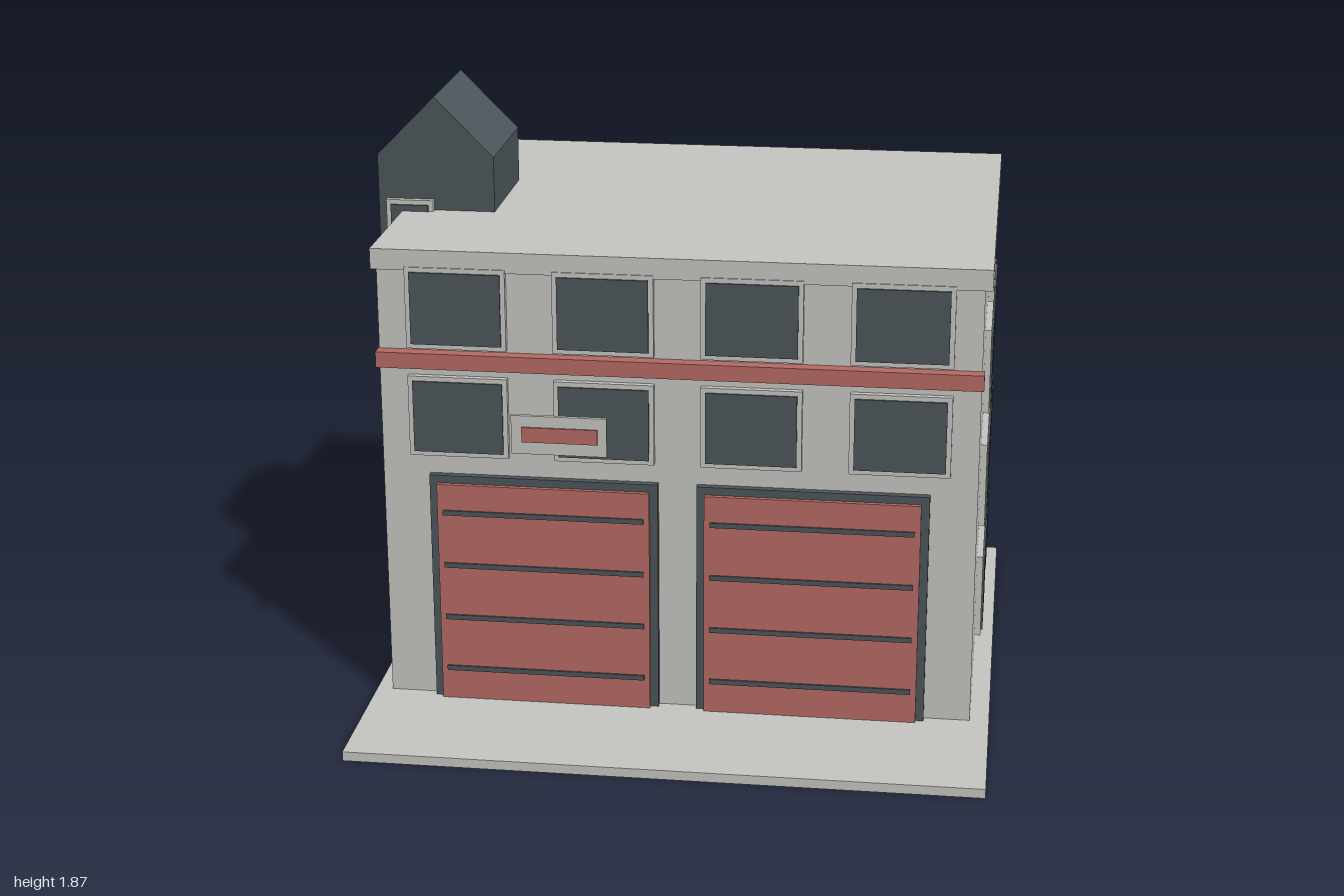
import * as THREE from 'three';

const concrete = new THREE.MeshStandardMaterial({ color: 0xc6c6c2 });
concrete.name = 'concrete grey';
const slate = new THREE.MeshStandardMaterial({ color: 0x4d565a });
slate.name = 'slate';
const red = new THREE.MeshStandardMaterial({ color: 0xb66b64 });
red.name = 'brick red';

// Box given by its minimum and maximum on each axis
function block(parent, name, material, [x0, x1], [y0, y1], [z0, z1]) {
  const mesh = new THREE.Mesh(new THREE.BoxGeometry(x1 - x0, y1 - y0, z1 - z0), material);
  mesh.position.set((x0 + x1) / 2, (y0 + y1) / 2, (z0 + z1) / 2);
  mesh.name = name;
  parent.add(mesh);
  return mesh;
}

// Window facing +z with its back on the local origin
function makeWindow(name, w, h) {
  const group = new THREE.Group();
  group.name = name;
  block(group, 'windowFrame', concrete, [-w / 2, w / 2], [-h / 2, h / 2], [0, 0.02]);
  const m = 0.015;
  block(group, 'windowPane', slate, [-w / 2 + m, w / 2 - m], [-h / 2 + m, h / 2 - m], [0.018, 0.026]);
  return group;
}

// Garage door with surround, panel and four grooves
function makeGarageDoor(x) {
  const door = new THREE.Group();
  door.name = 'garageDoor';
  block(door, 'doorSurround', slate, [-0.358, 0.358], [0.03, 0.78], [0.485, 0.513]);
  block(door, 'doorPanel', red, [-0.333, 0.333], [0.03, 0.755], [0.505, 0.528]);
  for (let i = 0; i < 4; i++) {
    const y = 0.135 + i * 0.176;
    block(door, 'doorGroove', slate, [-0.315, 0.315], [y - 0.008, y + 0.008], [0.526, 0.534]);
  }
  door.position.x = x;
  return door;
}

// Drying tower with a gabled top
function makeTower() {
  const s = new THREE.Shape();
  s.moveTo(-1, 0.03);
  s.lineTo(-0.625, 0.03);
  s.lineTo(-0.625, 1.68);
  s.lineTo(-0.8125, 1.87);
  s.lineTo(-1, 1.68);
  s.closePath();
  const geometry = new THREE.ExtrudeGeometry(s, { depth: 0.415, bevelEnabled: false });
  const tower = new THREE.Mesh(geometry, slate);
  tower.position.z = -0.372;
  tower.name = 'tower';
  return tower;
}

export function createModel() {
  const model = new THREE.Group();
  model.name = 'fireStation';

  // Main masses
  block(model, 'groundSlab', concrete, [-0.955, 1], [0, 0.03], [-0.948, 0.948]);
  block(model, 'body', concrete, [-0.905, 0.94], [0.03, 1.45], [-0.91, 0.49]);
  block(model, 'roofSlab', concrete, [-0.92, 0.963], [1.438, 1.503], [-0.933, 0.506]);
  model.add(makeTower());

  // Front windows, two rows of four
  for (const y of [0.972, 1.32]) {
    for (let i = 0; i < 4; i++) {
      const w = makeWindow('frontWindow', 0.31, 0.258);
      w.position.set(-0.66 + i * 0.4535, y, 0.49);
      model.add(w);
    }
  }

  // Side windows, three rows of two
  for (const y of [0.283, 0.667, 1.05]) {
    for (const z of [0.06 - 0.12, -0.563]) {
      const w = makeWindow('sideWindow', 0.312, 0.275);
      w.position.set(0.94, y, z);
      w.rotation.y = Math.PI / 2;
      model.add(w);
    }
  }

  // Tower windows on its front face
  for (const y of [0.487, 1.01, 1.427]) {
    const w = makeWindow('towerWindow', 0.152, 0.222);
    w.position.set(-0.896, y, 0.043);
    model.add(w);
  }

  // Garage doors
  for (const x of [-0.398, 0.438]) model.add(makeGarageDoor(x));

  // Red band and sign board
  block(model, 'redBand', red, [-0.908, 0.947], [1.132, 1.182], [0.482, 0.532]);
  block(model, 'signBoard', concrete, [-0.488, -0.192], [0.876, 1.0], [0.534, 0.547]);
  block(model, 'signStripe', red, [-0.455, -0.22], [0.916, 0.964], [0.545, 0.553]);
  block(model, 'signBracket', concrete, [-0.46, -0.42], [0.93, 0.95], [0.485, 0.536]);

  return model;
}
